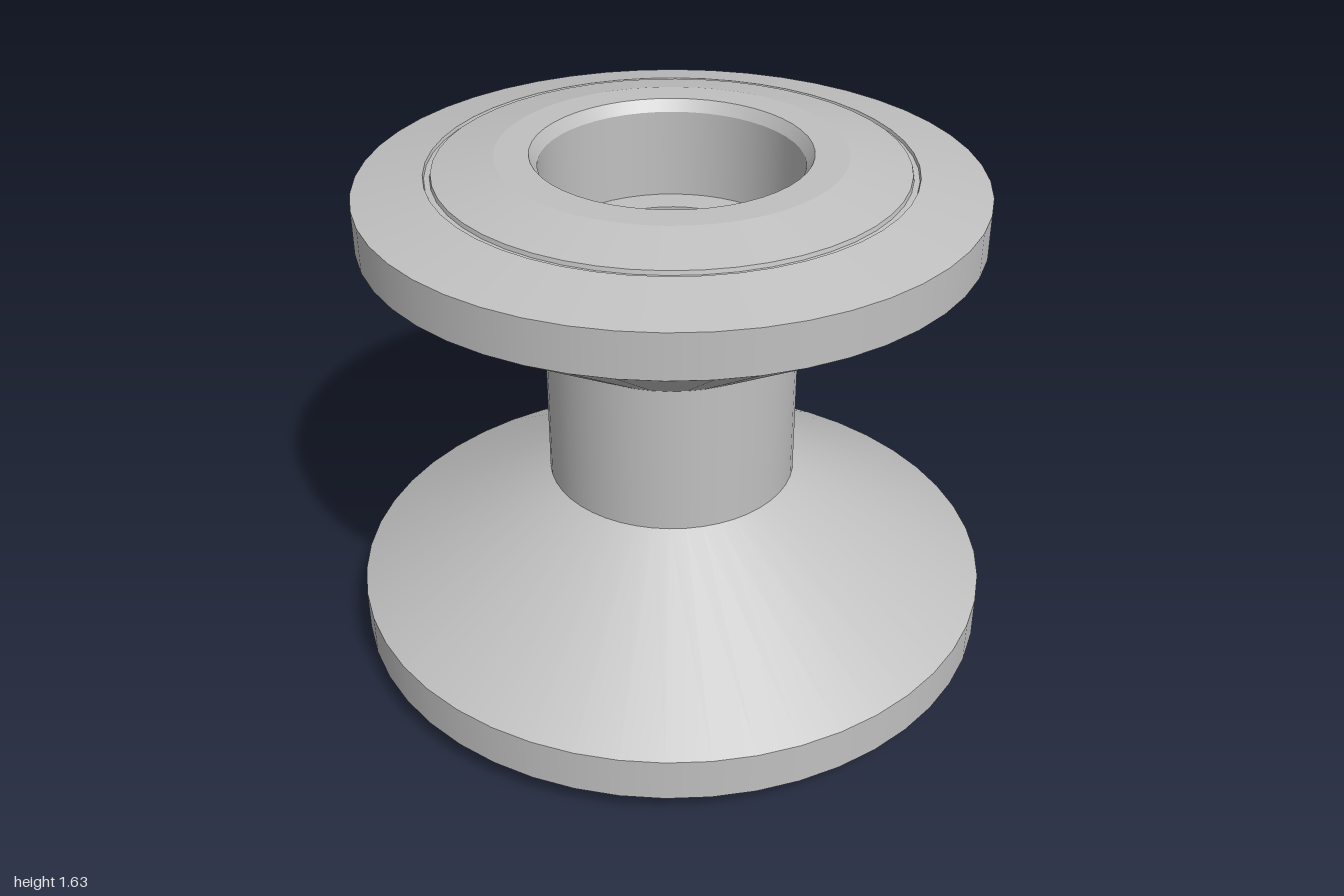
import * as THREE from 'three';
import { mergeGeometries } from 'three/addons/utils/BufferGeometryUtils.js';

const SIDES = 48;

// Revolves a profile of [radius, height] points; each segment is smooth around
// the axis but keeps crisp edges against its neighbours.
// Upward segments face outward, downward segments face the axis.
function turned(profile) {
  const bands = [];
  for (let i = 0; i < profile.length - 1; i++) {
    const points = [profile[i], profile[i + 1]].map(([r, y]) => new THREE.Vector2(r, y));
    bands.push(new THREE.LatheGeometry(points, SIDES));
  }
  return mergeGeometries(bands);
}

export function createModel() {
  const group = new THREE.Group();
  const metal = new THREE.MeshStandardMaterial({ color: 0xc0c0c0 });
  metal.name = 'grey metal';

  const add = (name, profile) => {
    const mesh = new THREE.Mesh(turned(profile), metal);
    mesh.name = name;
    group.add(mesh);
  };

  // Wide lower flange: flat foot, shallow underside, rim and sloped shoulder
  add('lowerFlange', [[0.41, 0], [0.51, 0], [1, 0.08], [1, 0.216], [0.387, 0.575]]);

  // Straight waist between the flanges
  add('waist', [[0.387, 0.575], [0.387, 1.055]]);

  // Upper flange: sloped underside, rim and outer part of the shallow top cone
  add('upperFlange', [[0.387, 1.055], [0.92, 1.405], [0.92, 1.54], [0.712, 1.586]]);

  // Fine groove cut into the top cone
  add('topGroove', [[0.712, 1.586], [0.709, 1.577], [0.693, 1.579], [0.69, 1.591]]);

  // Inner part of the top cone and its flat lip
  add('topLip', [[0.69, 1.591], [0.51, 1.63], [0.41, 1.63]]);

  // Stepped bore: chamfered counterbore at each end, narrower hole between
  add('upperCounterbore', [[0.41, 1.63], [0.387, 1.595], [0.387, 1.32], [0.29, 1.32]]);
  add('centreHole', [[0.29, 1.32], [0.29, 0.31]]);
  add('lowerCounterbore', [[0.29, 0.31], [0.387, 0.31], [0.387, 0.035], [0.41, 0]]);

  return group;
}
